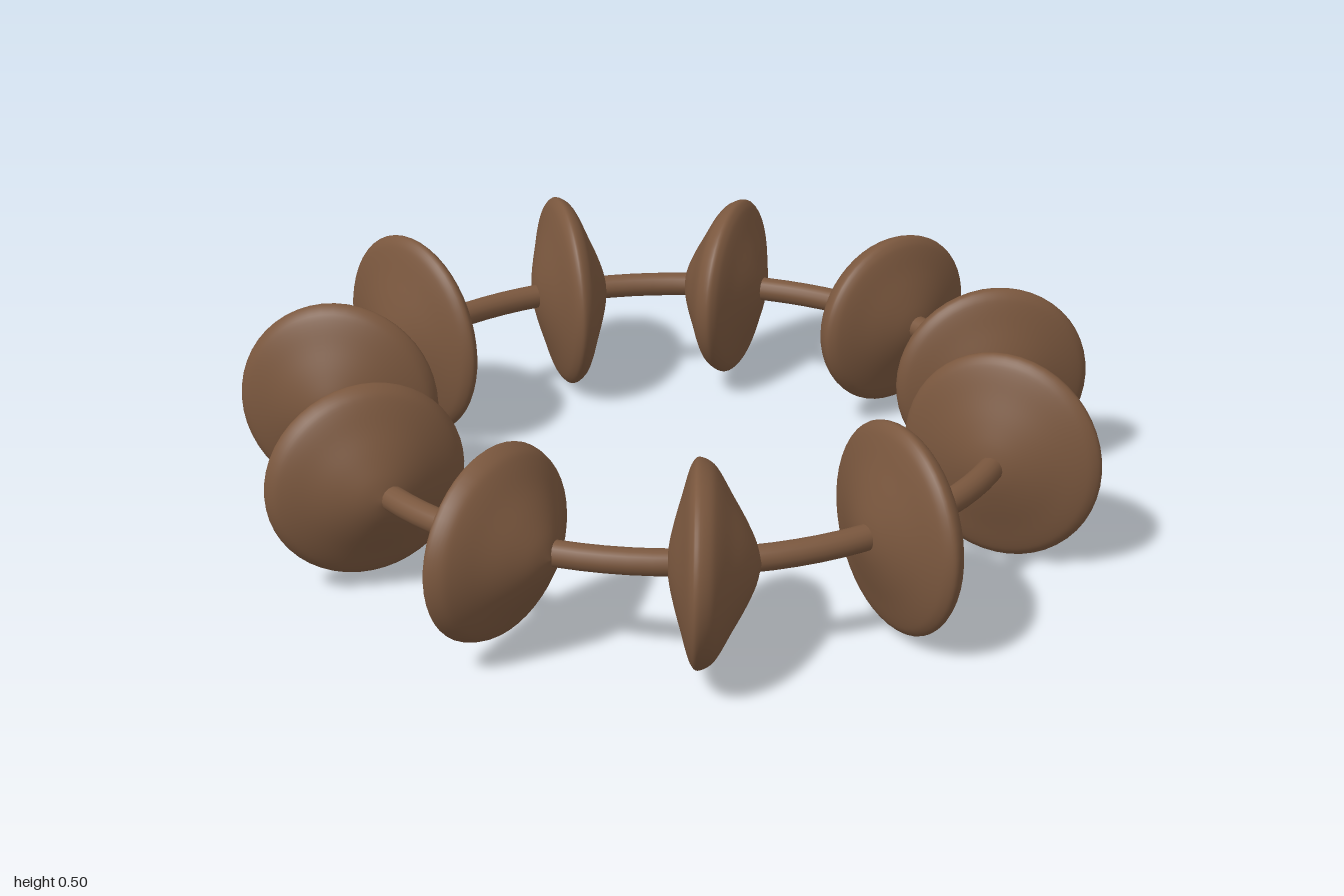
import * as THREE from 'three';

const HEIGHT = 0.26;

// Each bead: outer tip x, z; inner tip x, z; tall side, short side; vertical radius
const BEADS = [
  [-0.22, -0.99, -0.17, -0.54, 0.13, 0.08, 0.222],
  [0.35, -0.95, 0.155, -0.535, 0.15, 0.09, 0.212],
  [0.79, -0.62, 0.41, -0.36, 0.145, 0.09, 0.23],
  [0.995, -0.10, 0.53, -0.11, 0.115, 0.09, 0.243],
  [0.87, 0.47, 0.50, 0.20, 0.11, 0.085, 0.235],
  [0.47, 0.87, 0.28, 0.45, 0.13, 0.065, 0.217],
  [-0.085, 0.985, -0.02, 0.535, 0.15, 0.06, 0.215],
  [-0.60, 0.79, -0.305, 0.44, 0.13, 0.06, 0.225],
  [-0.94, 0.37, -0.51, 0.20, 0.11, 0.075, 0.243],
  [-0.995, -0.22, -0.555, -0.05, 0.085, 0.09, 0.25],
  [-0.73, -0.72, -0.42, -0.37, 0.08, 0.11, 0.24],
];

// Half profile from rim to peak: radius, height
const HALF = [[0.95, 0.2], [0.85, 0.34], [0.65, 0.53], [0.42, 0.75], [0.2, 0.92], [0, 1]];

// Rounded lens of unit radius, with a tall and a short side
function beadGeometry(tall, short) {
  const points = [
    ...HALF.map(([r, h]) => new THREE.Vector2(r, -h * short)).reverse(),
    new THREE.Vector2(1, 0),
    ...HALF.map(([r, h]) => new THREE.Vector2(r, h * tall)),
  ];
  const profile = new THREE.SplineCurve(points).getPoints(48);
  profile.forEach((p) => { p.x = Math.max(p.x, 0); });
  return new THREE.LatheGeometry(profile, 48);
}

export function createModel() {
  const model = new THREE.Group();
  model.name = 'beadedRing';
  const brown = new THREE.MeshStandardMaterial({ color: 0x7a573e });
  brown.name = 'brown';

  // Round hoop that carries the beads
  const hoop = new THREE.Mesh(new THREE.TorusGeometry(0.77, 0.029, 16, 96), brown);
  hoop.name = 'hoop';
  hoop.rotation.x = Math.PI / 2;
  hoop.position.set(-0.005, HEIGHT, -0.015);
  model.add(hoop);

  // Lens-shaped beads threaded around the hoop
  BEADS.forEach(([ox, oz, ix, iz, tall, short, rise], i) => {
    const geometry = beadGeometry(tall, short);
    const across = new THREE.Vector3(ox - ix, 0, oz - iz);
    const radius = across.length() / 2;
    across.normalize();
    const along = new THREE.Vector3(across.z, 0, -across.x);
    const up = new THREE.Vector3(0, 1, 0);
    const bead = new THREE.Mesh(geometry, brown);
    bead.name = `bead${i + 1}`;
    bead.quaternion.setFromRotationMatrix(new THREE.Matrix4().makeBasis(across, along, up));
    bead.scale.set(radius, 1, rise);
    bead.position.set((ox + ix) / 2, HEIGHT, (oz + iz) / 2);
    model.add(bead);
  });

  return model;
}
